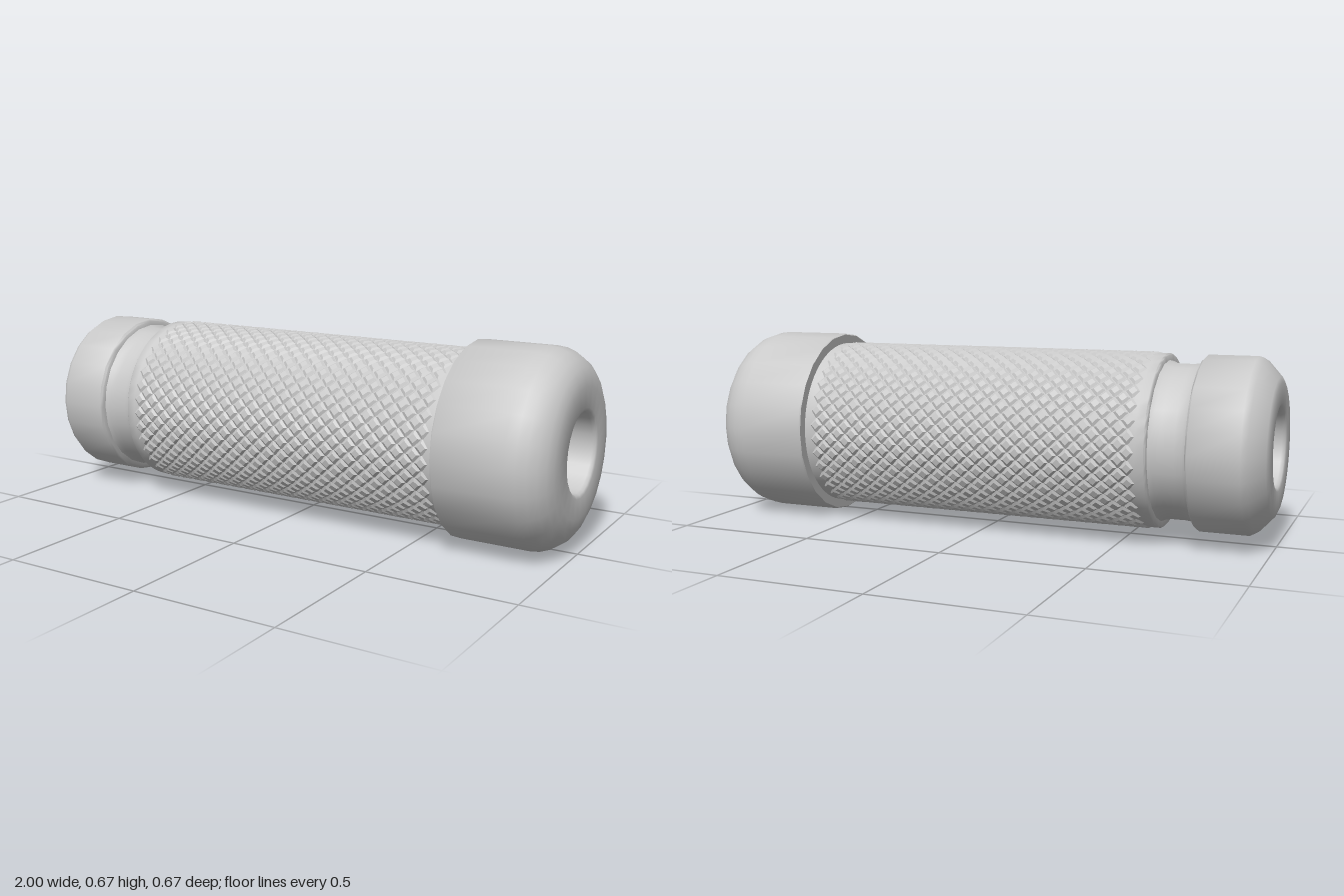
import * as THREE from 'three';
import { mergeGeometries, toCreasedNormals } from 'three/addons/utils/BufferGeometryUtils.js';

const AXIS_Y = 0.335;

export function createModel() {
  const model = new THREE.Group();
  const grey = new THREE.MeshStandardMaterial({ color: 0xcacaca });
  grey.name = 'lightGrey';

  // Turned part along x; the profile lists [x, radius], outer side running towards +x
  function turned(name, profile, sides = 24) {
    const points = profile.map(([x, r]) => new THREE.Vector2(r, x));
    const geometry = new THREE.LatheGeometry(points, sides);
    geometry.rotateZ(-Math.PI / 2);
    const mesh = new THREE.Mesh(toCreasedNormals(geometry, 0.9), grey);
    mesh.name = name;
    mesh.position.y = AXIS_Y;
    model.add(mesh);
  }

  // Quarter-round edge from the side (x0, r0) to the end face (x1, r1)
  function rounded(x0, r0, x1, r1, steps = 6) {
    return Array.from({ length: steps + 1 }, (_, i) => {
      const a = (i / steps) * Math.PI / 2;
      return [x0 + (x1 - x0) * Math.sin(a), r1 + (r0 - r1) * Math.cos(a)];
    });
  }

  // Chamfered end with a blind hole
  turned('endCollar', [
    [-0.5, 0], [-0.5, 0.125], [-0.508, 0.133], [-0.985, 0.133], [-0.996, 0.137], [-1, 0.147],
    [-1, 0.215], [-0.993, 0.232], [-0.945, 0.285], [-0.925, 0.297], [-0.757, 0.297],
    [-0.75, 0.29], [-0.75, 0.255],
  ]);

  // Recessed neck with small fillets
  turned('neck', [
    [-0.75, 0.275], [-0.735, 0.267], [-0.71, 0.264], [-0.665, 0.264], [-0.64, 0.267], [-0.622, 0.276],
  ]);

  // Grip core with a smooth rim at either end
  turned('gripCore', [
    [-0.625, 0.255], [-0.625, 0.292], [-0.62, 0.297], [-0.59, 0.297], [-0.575, 0.295],
    [0.585, 0.295], [0.6, 0.297], [0.63, 0.297],
  ], 72);

  // Rounded cap with a blind hole
  turned('cap', [
    [0.625, 0.28], [0.625, 0.33], [0.63, 0.334],
    ...rounded(0.87, 0.334, 1, 0.215),
    [1, 0.147], [0.996, 0.137], [0.985, 0.133], [0.508, 0.133], [0.5, 0.125], [0.5, 0],
  ]);

  // Knurling: staggered rows of low, bevelled diamond studs
  const stud = new THREE.CylinderGeometry(0.015, 0.0275, 0.007, 4, 1).toNonIndexed();
  stud.computeVertexNormals();
  const studs = [];
  const around = 36, rows = 40, start = -0.565, end = 0.58;
  for (let row = 0; row < rows; row++) {
    const x = start + (end - start) * row / (rows - 1);
    for (let i = 0; i < around; i++) {
      const angle = (i + (row % 2) / 2) / around * Math.PI * 2;
      studs.push(stud.clone().translate(x, 0.2975, 0).rotateX(angle));
    }
  }
  const knurling = new THREE.Mesh(mergeGeometries(studs), grey);
  knurling.name = 'knurling';
  knurling.position.y = AXIS_Y;
  model.add(knurling);

  return model;
}
